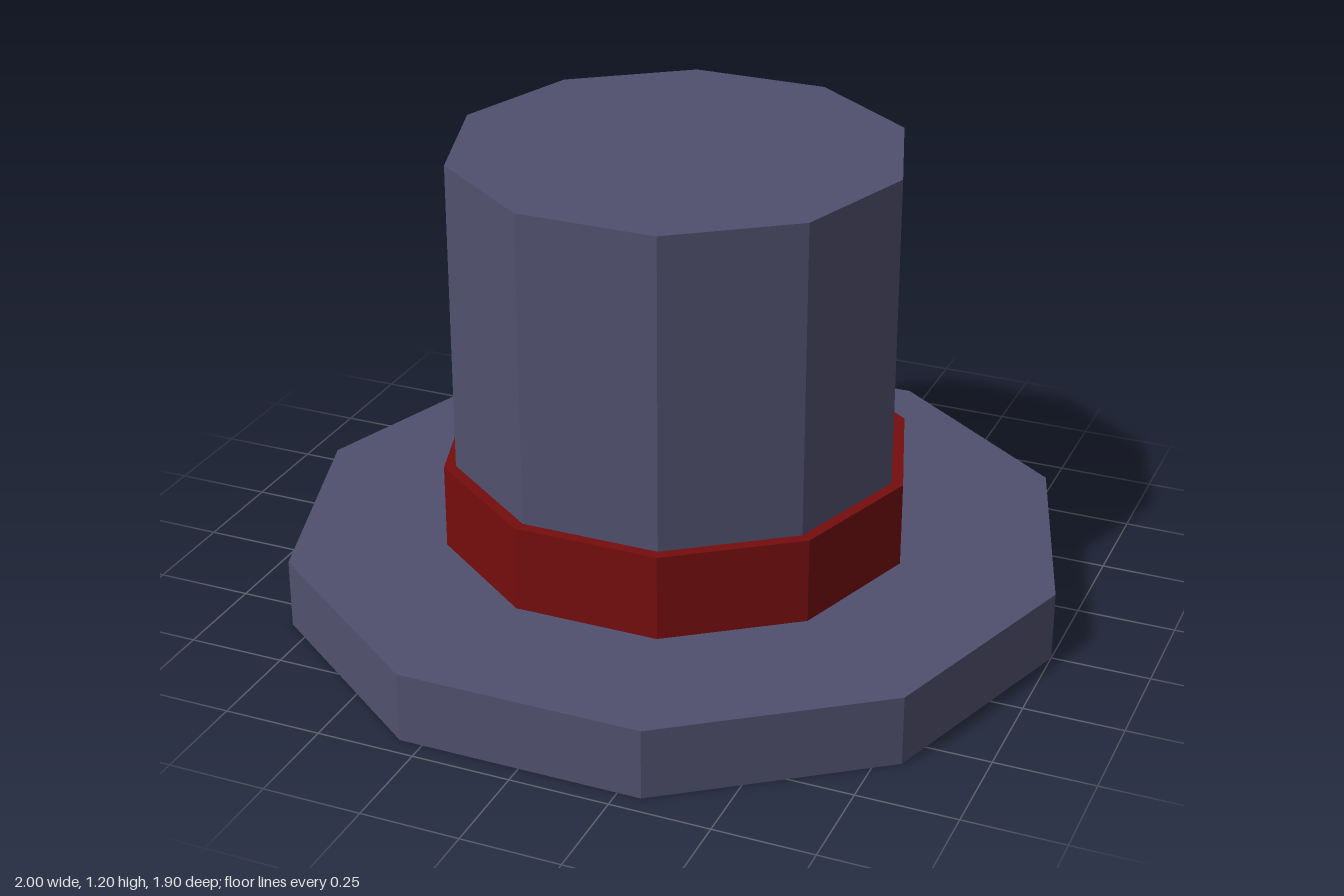
import * as THREE from 'three';

const SIDES = 10;

// Ten-sided upright prism with corners on the x axis
function prism(name, radius, bottom, top, color) {
  const height = top - bottom;
  const geometry = new THREE.CylinderGeometry(radius, radius, height, SIDES, 1, false, Math.PI / 2);
  const material = new THREE.MeshStandardMaterial({ color, flatShading: true });
  const mesh = new THREE.Mesh(geometry, material);
  mesh.name = name;
  mesh.position.y = bottom + height / 2;
  return mesh;
}

export function createModel() {
  const hat = new THREE.Group();
  hat.name = 'topHat';
  const felt = 0x50506e;
  const ribbon = 0x750d0d;

  hat.add(
    prism('brim', 1, 0, 0.18, felt),
    prism('hatBand', 0.6, 0.18, 0.4, ribbon),
    prism('crown', 0.57, 0.4, 1.2, felt),
  );
  return hat;
}
